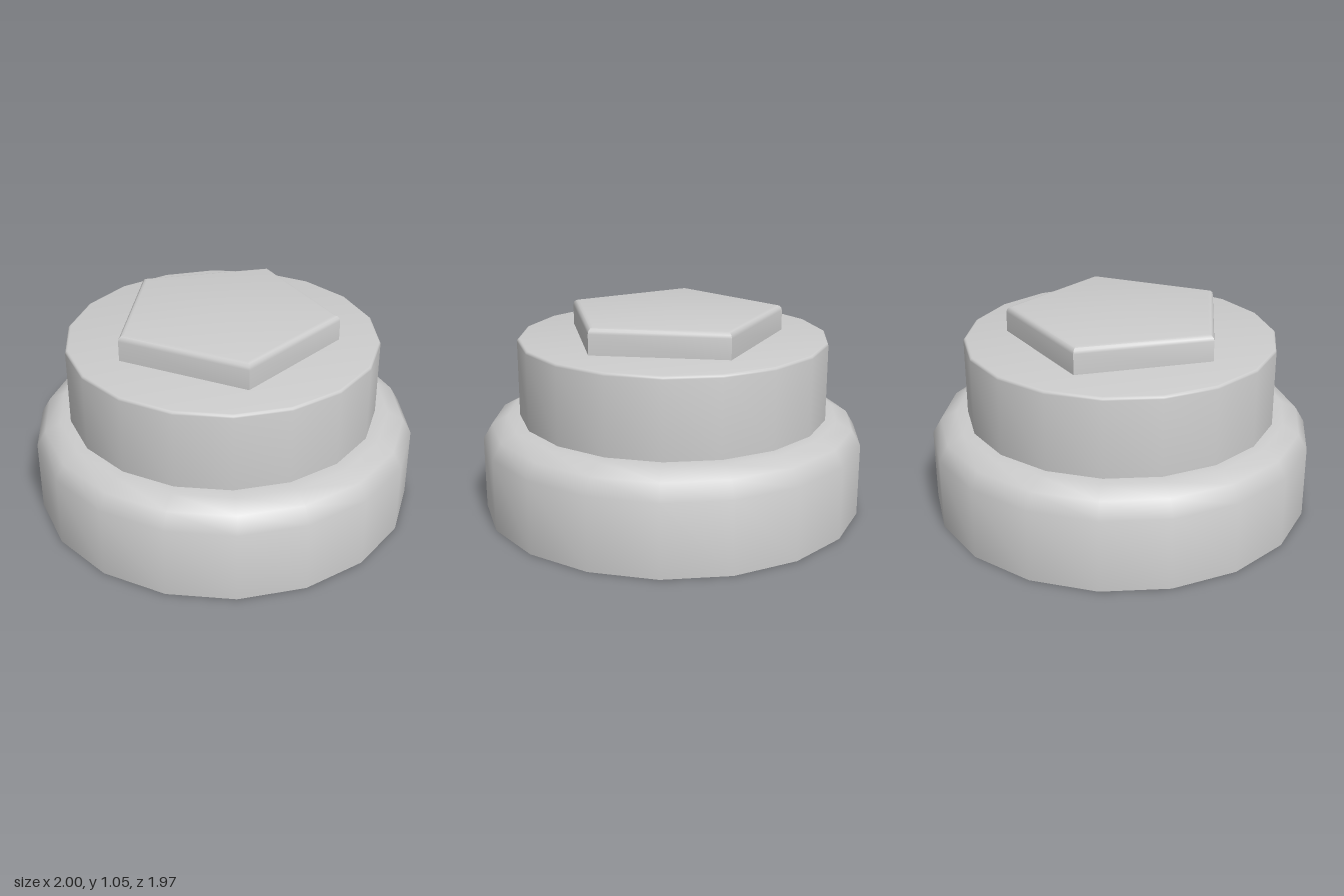
import * as THREE from 'three';
import { toCreasedNormals } from 'three/addons/utils/BufferGeometryUtils.js';

// Faceted turned solid with one corner on +x; profile runs bottom to top as [radius, y]
function turned(name, profile, sides, side = THREE.FrontSide) {
  const points = profile.map(([r, y]) => new THREE.Vector2(r, y));
  const geometry = toCreasedNormals(new THREE.LatheGeometry(points, sides, Math.PI / 2), 0.7);
  const material = new THREE.MeshStandardMaterial({ color: 0xcccccc, side });
  const mesh = new THREE.Mesh(geometry, material);
  mesh.name = name;
  return mesh;
}

// Closed disc or prism whose top edge is rounded by the given inset and drop
function roundedTop(radius, bottom, top, inset, drop) {
  const profile = [[0, bottom], [radius, bottom]];
  for (let i = 0; i <= 3; i++) {
    const a = (i / 3) * Math.PI / 2;
    profile.push([radius - inset * (1 - Math.cos(a)), top - drop * (1 - Math.sin(a))]);
  }
  profile.push([0, top]);
  return profile;
}

export function createModel() {
  const model = new THREE.Group();
  model.name = 'cap';

  // Hollow skirt, open below, with a rounded shoulder
  model.add(turned('skirt',
    [[1, 0], [1, 0.38], [0.953, 0.46], [0.87, 0.503], [0.78, 0.503]], 18, THREE.DoubleSide));

  // Upper drum, set a touch off centre and sunk slightly into the skirt
  const drum = turned('drum', roundedTop(0.81, 0.485, 0.915, 0.015, 0.015), 18);
  drum.position.x = -0.007;
  model.add(drum);

  // Five-sided nut on top
  model.add(turned('pentagonNut', roundedTop(0.592, 0.9, 1.05, 0.035, 0.03), 5));

  return model;
}
